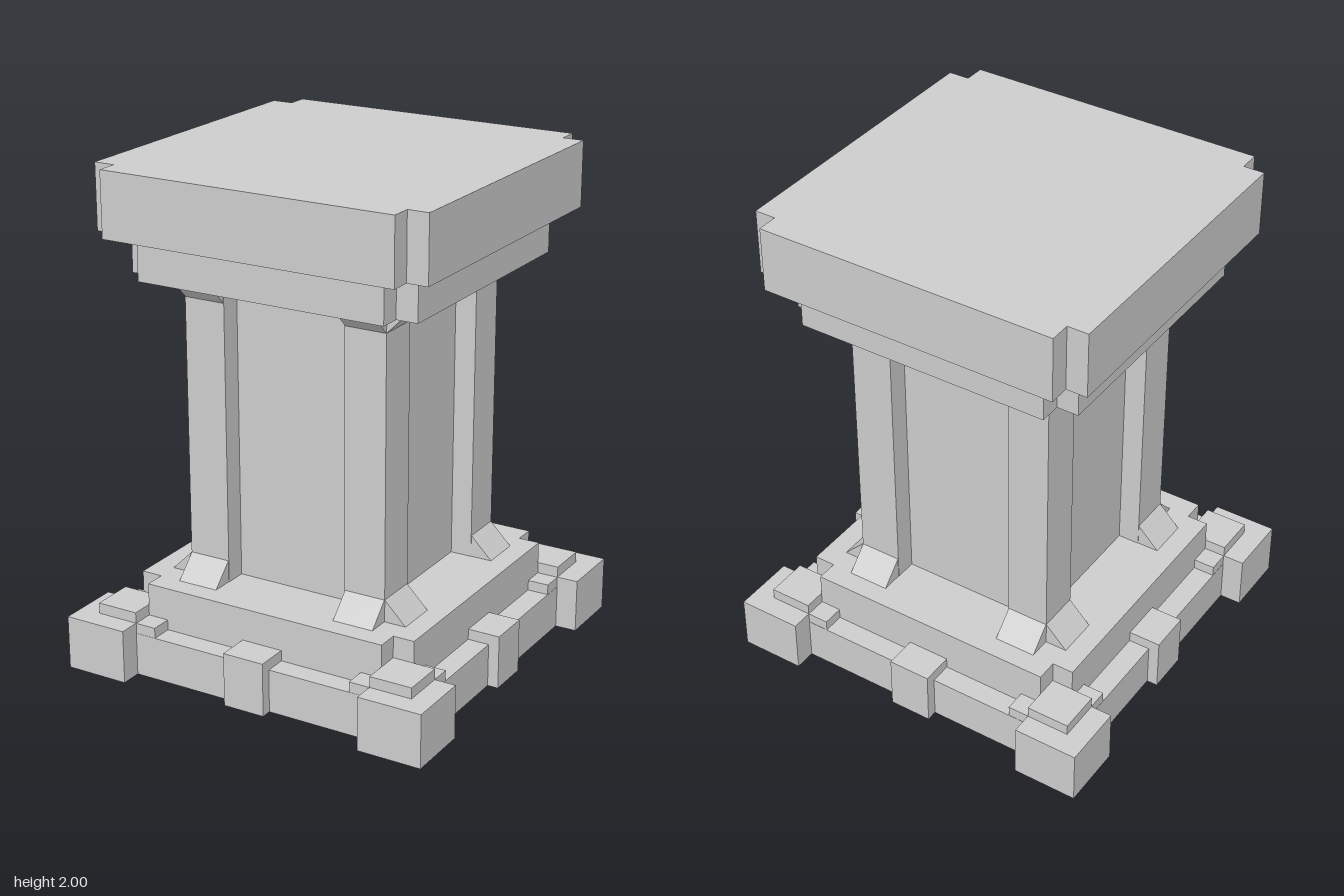
import * as THREE from 'three';

const stone = new THREE.MeshStandardMaterial({ color: 0xcccccc });
stone.name = 'stone';

function add(parent, name, geometry, x = 0, y = 0, z = 0) {
  const mesh = new THREE.Mesh(geometry, stone);
  mesh.name = name;
  mesh.position.set(x, y, z);
  parent.add(mesh);
  return mesh;
}

// Box given by its minimum and maximum corners
function block(parent, name, [x0, y0, z0], [x1, y1, z1]) {
  const geometry = new THREE.BoxGeometry(x1 - x0, y1 - y0, z1 - z0);
  return add(parent, name, geometry, (x0 + x1) / 2, (y0 + y1) / 2, (z0 + z1) / 2);
}

// Square slab of half width r with a square notch cut out of each corner
function notchedSlab(parent, name, r, inner, y0, y1) {
  const points = [];
  for (let k = 0; k < 4; k++) {
    for (const [x, y] of [[r, -inner], [r, inner], [inner, inner]]) {
      const p = new THREE.Vector2(x, y);
      points.push(p.rotateAround(new THREE.Vector2(), k * Math.PI / 2));
    }
  }
  const geometry = new THREE.ExtrudeGeometry(new THREE.Shape(points), { depth: y1 - y0, bevelEnabled: false });
  geometry.rotateX(-Math.PI / 2);
  return add(parent, name, geometry, 0, y0, 0);
}

// Triangular bracket: leans outward along +x, runs along z; negative rise hangs down
function wedge(reach, rise, length) {
  const shape = new THREE.Shape([
    new THREE.Vector2(0, 0), new THREE.Vector2(reach, 0), new THREE.Vector2(0, rise),
  ]);
  return new THREE.ExtrudeGeometry(shape, { depth: length, bevelEnabled: false });
}

export function createModel() {
  const model = new THREE.Group();
  model.name = 'pedestal';

  // Stacked slabs and the recessed core of the shaft
  block(model, 'baseSlab', [-0.695, 0, -0.695], [0.695, 0.175, 0.695]);
  notchedSlab(model, 'upperBase', 0.607, 0.52, 0.17, 0.35);
  block(model, 'shaftCore', [-0.345, 0.35, -0.345], [0.345, 1.57, 0.345]);
  notchedSlab(model, 'lowerCap', 0.607, 0.52, 1.57, 1.74);
  notchedSlab(model, 'topCap', 0.695, 0.61, 1.74, 2);

  const foot = wedge(0.09, 0.09, 0.17);
  const head = wedge(0.09, -0.09, 0.17);

  // One corner and one side, repeated by quarter turns
  for (let k = 0; k < 4; k++) {
    const quarter = new THREE.Group();
    quarter.name = 'quarter' + (k + 1);
    quarter.rotation.y = k * Math.PI / 2;
    model.add(quarter);

    block(quarter, 'cornerPillar', [0.26, 0.35, 0.26], [0.433, 1.57, 0.433]);
    block(quarter, 'cornerBlock', [0.52, 0, 0.52], [0.782, 0.218, 0.782]);
    block(quarter, 'cornerStep', [0.433, 0.1, 0.433], [0.694, 0.217, 0.694]);
    block(quarter, 'cornerCap', [0.52, 0.1, 0.52], [0.695, 0.262, 0.695]);
    block(quarter, 'middleBlock', [0.6, 0, -0.087], [0.739, 0.218, 0.087]);

    // Sloped brackets at the foot and head of the pillars
    for (const z of [0.262, -0.432]) {
      add(quarter, 'footBracket', foot, 0.432, 0.35, z);
      add(quarter, 'headBracket', head, 0.432, 1.57, z);
    }
  }
  return model;
}
